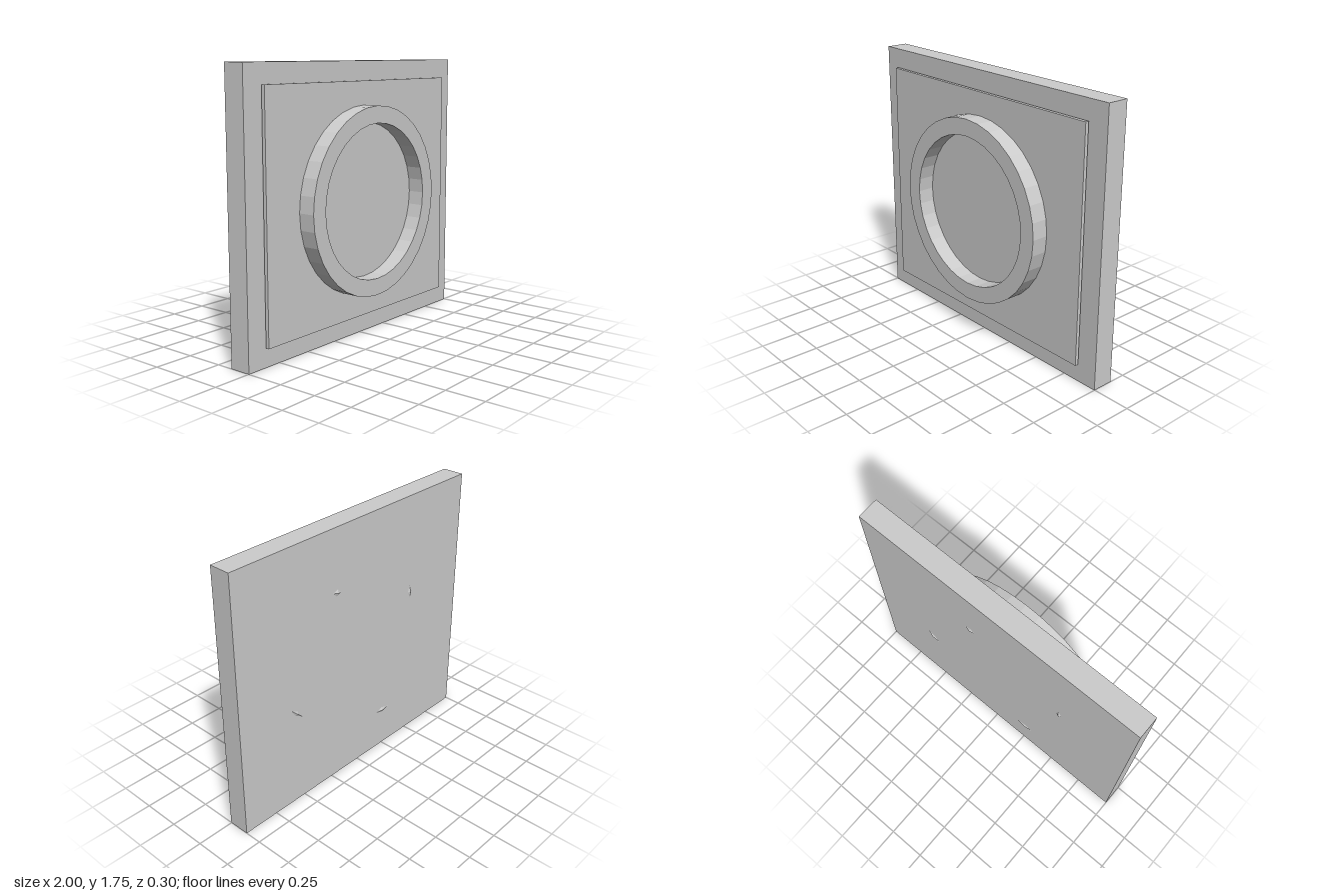
import * as THREE from 'three';

export function createModel() {
  const group = new THREE.Group();
  const grey = new THREE.MeshStandardMaterial({ color: 0xcccccc, flatShading: true });
  grey.name = 'light grey';
  const midY = 0.875;

  const add = (name, geometry, x, y, z) => {
    const mesh = new THREE.Mesh(geometry, grey);
    mesh.name = name;
    mesh.position.set(x, y, z);
    group.add(mesh);
    return mesh;
  };

  // Thick backing slab and the thin panel floating just in front of it
  add('backingSlab', new THREE.BoxGeometry(2, 1.75, 0.142), 0, midY, -0.068);
  add('frontPanel', new THREE.BoxGeometry(1.746, 1.504, 0.023), 0, midY, 0.0275);

  // Raised 36-sided ring
  const outline = new THREE.Shape().absarc(0, 0, 0.602, 0, Math.PI * 2);
  outline.holes.push(new THREE.Path().absarc(0, 0, 0.494, 0, Math.PI * 2, true));
  const ring = new THREE.ExtrudeGeometry(outline, { depth: 0.109, bevelEnabled: false, curveSegments: 18 });
  add('raisedRing', ring, 0, midY, 0.039);

  // Small slivers poking out of the slab: [x, back y, front y, half length, half width, angle]
  const slivers = [
    [0.19, 1.33, 1.47, 0.035, 0.022, 0.2],
    [-0.5, 1.08, 1.1, 0.05, 0.018, 1.5],
    [0.55, 0.65, 0.67, 0.062, 0.015, 0.75],
    [-0.25, 0.275, 0.42, 0.06, 0.018, 0],
  ];
  for (const [x, backY, frontY, length, width, angle] of slivers) {
    for (const [name, y, z] of [['backSliver', backY, -0.139], ['frontSliver', frontY, 0.003]]) {
      const sliver = add(name, new THREE.OctahedronGeometry(1), x, y, z);
      sliver.scale.set(length, width, 0.009);
      sliver.rotation.z = angle;
    }
  }
  return group;
}
